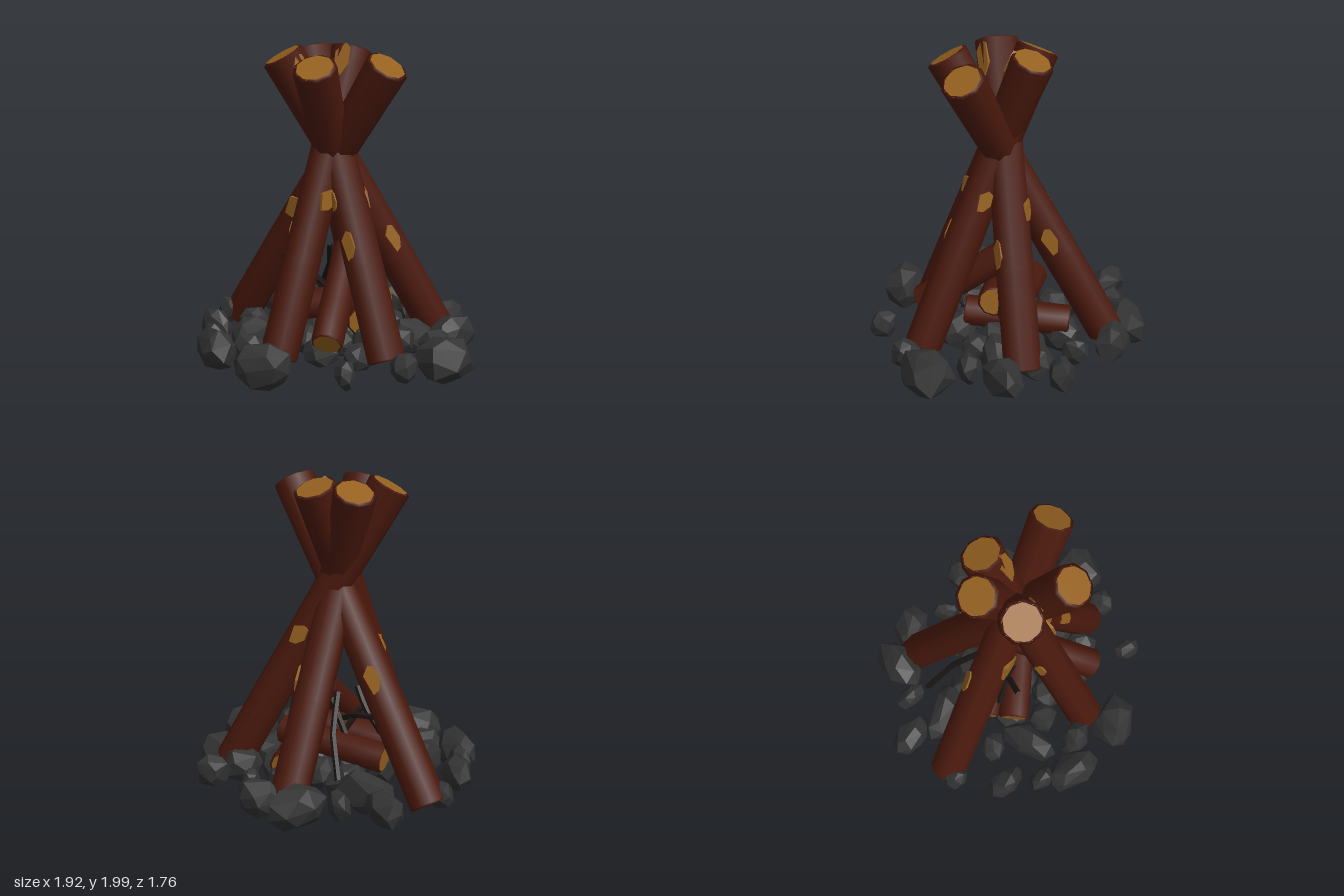
import * as THREE from 'three';
import { ConvexGeometry } from 'three/addons/geometries/ConvexGeometry.js';

const mat = (color, flatShading = false) => new THREE.MeshStandardMaterial({ color, flatShading, roughness: 1 });
const V = (a) => new THREE.Vector3(...a);
const UP = new THREE.Vector3(0, 1, 0);

function seeded(seed) {
  return () => {
    seed = (seed * 16807) % 2147483647;
    return seed / 2147483647;
  };
}

export function createModel() {
  const root = new THREE.Group();
  const bark = mat(0x4a190d), wood = mat(0x94601f, true), stone = mat(0x323232, true), char = mat(0x1b1614, true);
  const rand = seeded(4711);

  const add = (parent, name, geometry, material) => {
    const mesh = new THREE.Mesh(geometry, material);
    mesh.name = name;
    parent.add(mesh);
    return mesh;
  };

  // A log from point a to point b: bark with chamfered rims and pale cut ends
  function addLog(name, a, b, r0, r1) {
    const from = V(a), dir = V(b).sub(from), len = dir.length();
    dir.normalize();
    const log = new THREE.Group();
    log.name = name;
    log.position.copy(from);
    log.quaternion.setFromUnitVectors(UP, dir);
    const profile = [
      [r0 * 0.85, 0], [r0, 0.012], [r0, len * 0.3], [r0 * 0.95, len * 0.65],
      [r1, len - 0.012], [r1 * 0.85, len],
    ].map((p) => new THREE.Vector2(...p));
    add(log, 'bark', new THREE.LatheGeometry(profile, 9), bark);
    for (const [y, r, turn] of [[0, r0, 1], [len, r1, -1]]) {
      const end = add(log, 'cutEnd', new THREE.CircleGeometry(r * 0.87, 9), wood);
      end.position.y = y + turn * 0.003;
      end.rotation.x = turn * Math.PI / 2;
    }
    root.add(log);
    return { from, dir, r: r0 };
  }

  // Five leaning poles crossing near the top
  const poles = [
    [[-0.86, 0.1, -0.04], [0.36, 1.91, 0.0]],
    [[-0.28, 0.13, -0.66], [0.06, 1.91, 0.32]],
    [[0.43, 0.14, -0.48], [-0.29, 1.94, 0.19]],
    [[0.52, 0.14, 0.21], [-0.29, 1.94, -0.11]],
    [[-0.06, 0.13, 0.54], [-0.06, 1.95, -0.22]],
  ].map(([a, b]) => addLog('pole', a, b, 0.118, 0.136));

  // Short logs lying in the middle
  addLog('innerLog', [0.23, 0.25, 0.43], [-0.03, 0.69, -0.14], 0.1, 0.1);
  addLog('innerLog', [-0.38, 0.3, 0.18], [0.22, 0.41, -0.12], 0.1, 0.1);
  addLog('innerLog', [-0.45, 0.27, 0.0], [0.21, 0.36, -0.25], 0.095, 0.095);
  addLog('innerLog', [-0.08, 0.25, -0.5], [0.24, 0.3, 0.08], 0.1, 0.1);

  // Bare wood patches: pole index, height, outward direction, half width, half length
  const patches = [
    [0, 0.96, [0, 0, 1], 0.065, 0.08], [0, 0.78, [-0.5, 0.5, -1], 0.045, 0.09],
    [3, 0.8, [0.1, 0, 1], 0.04, 0.09], [3, 1.05, [0.7, 0, -0.7], 0.045, 0.07],
    [3, 1.06, [-0.3, 0, 1], 0.03, 0.06], [4, 0.86, [-1, 0, 0.2], 0.035, 0.06],
    [4, 1.06, [1, 0, 0.3], 0.055, 0.07], [2, 0.77, [1, 0, 0.4], 0.04, 0.09],
    [2, 1.0, [-0.3, 0, -1], 0.05, 0.07], [1, 0.77, [0.8, 0, -0.5], 0.045, 0.09],
    [2, 1.82, [1, 0, 0.2], 0.05, 0.12], [4, 1.85, [0.2, 0, 1], 0.05, 0.11],
  ];
  const outline = [[-0.6, -1], [0.3, -0.85], [1, -0.2], [0.8, 0.8], [0.1, 1], [-1, 0.45]];
  for (const [i, height, out, w, h] of patches) {
    const { from, dir, r } = poles[i];
    const n = V(out).addScaledVector(dir, -V(out).dot(dir)).normalize();
    const side = new THREE.Vector3().crossVectors(dir, n);
    const shape = new THREE.Shape(outline.map(([x, y]) => new THREE.Vector2(x * w, y * h)));
    const patch = add(root, 'bareWoodPatch',
      new THREE.ExtrudeGeometry(shape, { depth: 0.025, bevelEnabled: false }), wood);
    patch.quaternion.setFromRotationMatrix(new THREE.Matrix4().makeBasis(side, dir, n));
    const rim = height > 1.5 ? 0.13 : r;
    patch.position.copy(from).addScaledVector(dir, (height - from.y) / dir.y).addScaledVector(n, rim - 0.025);
  }

  // Charred twigs, each with a slight kink
  const twigs = [
    [[-0.48, 0.26, -0.43], [-0.2, 0.68, -0.16]],
    [[0.08, 0.94, -0.08], [-0.2, 0.36, -0.08]],
    [[-0.32, 0.67, 0.18], [-0.14, 0.34, -0.1]],
    [[-0.38, 0.52, 0.0], [-0.08, 0.44, 0.0]],
    [[-0.16, 0.66, 0.05], [-0.36, 0.4, 0.06]],
  ];
  for (const [a, b] of twigs) {
    const mid = V(a).lerp(V(b), 0.5).add(V([0.025, 0.02, -0.02]));
    const path = new THREE.CurvePath();
    path.add(new THREE.LineCurve3(V(a), mid));
    path.add(new THREE.LineCurve3(mid, V(b)));
    add(root, 'twig', new THREE.TubeGeometry(path, 4, 0.02, 5), char);
  }

  // A chunky stone: hull of jittered points spread over a ball
  function addStone(x, z, sx, sz, turn, y, sy) {
    const pts = [];
    const count = 22;
    for (let i = 0; i < count; i++) {
      const h = 1 - (2 * i + 1) / count, a = i * 2.39996 + rand() * 0.6, r = Math.sqrt(1 - h * h);
      pts.push(V([r * Math.cos(a), h, r * Math.sin(a)]).multiplyScalar(0.96 + rand() * 0.2));
    }
    const geo = new ConvexGeometry(pts);
    geo.scale(sx, sy, sz);
    const mesh = add(root, 'stone', geo, stone);
    mesh.rotation.y = turn;
    mesh.position.set(x, y, z);
  }

  // Outer ring: x, z, half width, half depth, turn
  const ring = [
    [-0.42, -0.7, 0.11, 0.19, -0.25], [-0.15, -0.78, 0.15, 0.1, 0.2], [0.07, -0.64, 0.05, 0.09, 0.6],
    [0.35, -0.71, 0.11, 0.08, 0.5], [-0.57, -0.51, 0.1, 0.06, -0.4], [-0.8, -0.36, 0.14, 0.09, -0.2],
    [-0.56, -0.27, 0.21, 0.09, 0.2], [-0.89, 0.04, 0.07, 0.075, 0], [-0.59, 0.14, 0.1, 0.08, 0.4],
    [-0.74, 0.34, 0.13, 0.08, -0.15], [-0.43, 0.33, 0.1, 0.19, 0], [-0.6, 0.53, 0.09, 0.06, -0.3],
    [-0.44, 0.67, 0.18, 0.11, -0.4], [-0.25, 0.58, 0.12, 0.08, 0.2], [-0.02, 0.75, 0.18, 0.13, 0.25],
    [0.47, 0.56, 0.09, 0.06, -0.6], [0.67, 0.24, 0.08, 0.09, 0.2], [0.79, -0.01, 0.16, 0.18, -0.5],
    [0.6, -0.2, 0.1, 0.07, 0.7], [0.57, -0.43, 0.11, 0.15, -0.5], [0.38, -0.25, 0.14, 0.1, 0.5],
    [0.32, -0.5, 0.13, 0.1, 0.4],
  ];
  for (const [x, z, sx, sz, turn] of ring) {
    const sy = Math.min(0.148, 0.3 * (sx + sz) + 0.045);
    addStone(x, z, sx, sz, turn, 0.153, sy);
  }

  // Bed of stones under the logs
  for (let i = 0; i < 17; i++) {
    const a = i * 2.39996, d = 0.11 * Math.sqrt(i + 0.3), s = 0.085 + rand() * 0.03;
    addStone(d * Math.cos(a), d * Math.sin(a) - 0.02, s * 1.15, s, rand() * 3, 0.14 + rand() * 0.04, s);
  }
  return root;
}
